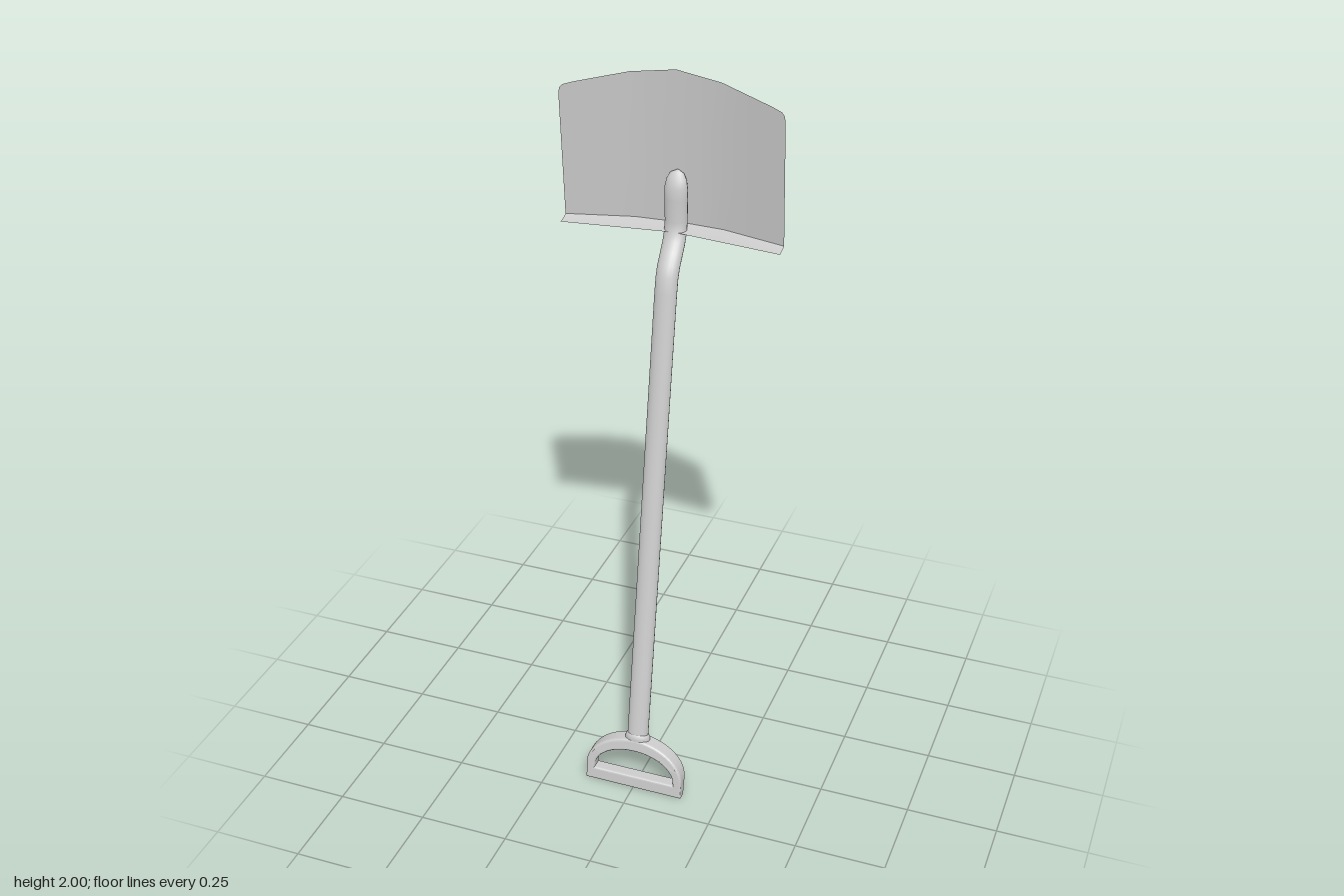
import * as THREE from 'three';

const steel = new THREE.MeshStandardMaterial({ color: 0xcccccc });
const sheet = new THREE.MeshStandardMaterial({ color: 0xcccccc, side: THREE.DoubleSide });

// Surface through a grid of points, rows of equal length
function gridGeometry(rows) {
  const n = rows[0].length, index = [];
  for (let r = 0; r < rows.length - 1; r++) {
    for (let i = 0; i < n - 1; i++) {
      const a = r * n + i, b = a + 1, c = a + n, d = c + 1;
      index.push(a, b, d, a, d, c);
    }
  }
  const g = new THREE.BufferGeometry();
  g.setAttribute('position', new THREE.Float32BufferAttribute(rows.flat(2), 3));
  g.setIndex(index);
  g.computeVertexNormals();
  return g;
}

// Oval tube along stations [y, z, half width, half depth] in the middle plane
function ovalTube(stations, sides = 20) {
  const rows = stations.map(([y, z, rx, rz], i) => {
    const p = stations[Math.max(i - 1, 0)], q = stations[Math.min(i + 1, stations.length - 1)];
    const len = Math.hypot(q[0] - p[0], q[1] - p[1]);
    const ty = (q[0] - p[0]) / len, tz = (q[1] - p[1]) / len;
    return Array.from({ length: sides + 1 }, (_, k) => {
      const a = -k / sides * Math.PI * 2, s = Math.sin(a) * rz;
      return [Math.cos(a) * rx, y - tz * s, z + ty * s];
    });
  });
  // rings run clockwise, so reverse them to face outwards
  return gridGeometry(rows.map(r => r.reverse()).reverse());
}

// Linear interpolation in a table of [x, value]
function lookup(table, x) {
  const i = Math.max(1, table.findIndex(p => p[0] >= x - 1e-6));
  const [x0, v0] = table[i - 1], [x1, v1] = table[i];
  return v0 + (v1 - v0) * (x - x0) / (x1 - x0);
}

export function createModel() {
  const model = new THREE.Group();
  const add = (name, geometry, material = steel) => {
    const mesh = new THREE.Mesh(geometry, material);
    mesh.name = name;
    model.add(mesh);
  };

  // Blade: thin bowed sheet with a peaked top edge and softened corners
  const half = [0, 0.06, 0.12, 0.2, 0.26, 0.285, 0.292, 0.295];
  const xs = [...half.slice(1).reverse().map(x => -x), ...half];
  const bow = [[0, -0.181], [0.12, -0.174], [0.295, -0.13]];
  const topEdge = [[0, 2], [0.12, 1.983], [0.26, 1.95], [0.285, 1.942], [0.292, 1.934], [0.295, 1.92]];
  const base = 1.585;
  const bladeRows = [0, 0.33, 0.67, 1].map(t => xs.map(x => {
    const y = base + (lookup(topEdge, Math.abs(x)) - base) * t;
    return [x, y, lookup(bow, Math.abs(x)) + 0.078 * (y - base)];
  }));
  add('blade', gridGeometry(bladeRows), sheet);

  // Foot lip: flange bent forward along the blade's lower edge
  const lipRows = [0, 0.5, 1].map(t => xs.map(x => {
    const back = lookup(bow, Math.abs(x)), front = -0.133 + 0.037 * Math.abs(x) / 0.295;
    return [x, base - 0.009 * Math.sin(t * Math.PI / 2), back + (front - back) * t];
  }));
  add('footLip', gridGeometry(lipRows), sheet);

  // Shaft: oval, cranked near the blade and flattened to a rounded tip
  const shaft = [
    [0.14, 0.14], [1.43, -0.079], [1.47, -0.088], [1.495, -0.099], [1.52, -0.118],
    [1.545, -0.137], [1.57, -0.149], [1.6, -0.155]
  ].map(p => [...p, 0.03, 0.021]);
  shaft.push([1.66, -0.153, 0.031, 0.021], [1.69, -0.153, 0.031, 0.019],
    [1.712, -0.156, 0.027, 0.015], [1.728, -0.161, 0.018, 0.009], [1.735, -0.166, 0.001, 0.001]);
  add('shaft', ovalTube(shaft));

  // Collar where the shaft enters the grip
  add('collar', ovalTube([
    [0.125, 0.143, 0.037, 0.02], [0.155, 0.138, 0.036, 0.024], [0.163, 0.1365, 0.034, 0.024],
    [0.168, 0.1355, 0.029, 0.02]
  ]));

  // Grip: D-shaped ring, sheared back towards the shaft and thinner at the bar
  const bevel = 0.006;
  const outline = new THREE.Shape();
  outline.moveTo(-0.136, 0.008);
  outline.lineTo(0.136, 0.008);
  outline.lineTo(0.136, 0.055);
  outline.bezierCurveTo(0.132, 0.11, 0.07, 0.148, 0, 0.15);
  outline.bezierCurveTo(-0.07, 0.148, -0.132, 0.11, -0.136, 0.055);
  outline.closePath();
  const opening = new THREE.Path();
  opening.moveTo(-0.134, 0.034);
  opening.lineTo(-0.132, 0.058);
  opening.bezierCurveTo(-0.12, 0.1, -0.065, 0.126, 0, 0.126);
  opening.bezierCurveTo(0.065, 0.126, 0.12, 0.1, 0.132, 0.058);
  opening.lineTo(0.134, 0.034);
  opening.closePath();
  // keep the side walls thick enough for the bevel
  const hole = new THREE.Path(opening.getPoints(16).map(p => new THREE.Vector2(p.x * 0.925, p.y)));
  outline.holes.push(hole);
  const grip = new THREE.ExtrudeGeometry(outline, {
    depth: 0.028, bevelSize: bevel, bevelThickness: bevel, bevelSegments: 3, curveSegments: 16
  });
  grip.translate(0, 0, -0.014);
  const pos = grip.attributes.position;
  for (let i = 0; i < pos.count; i++) {
    const y = pos.getY(i);
    const depth = 0.72 + 0.38 * Math.min(1, y / 0.09);
    pos.setZ(i, pos.getZ(i) * depth + 0.166 - 0.17 * y);
  }
  pos.needsUpdate = true;
  grip.computeVertexNormals();
  add('grip', grip);

  return model;
}
